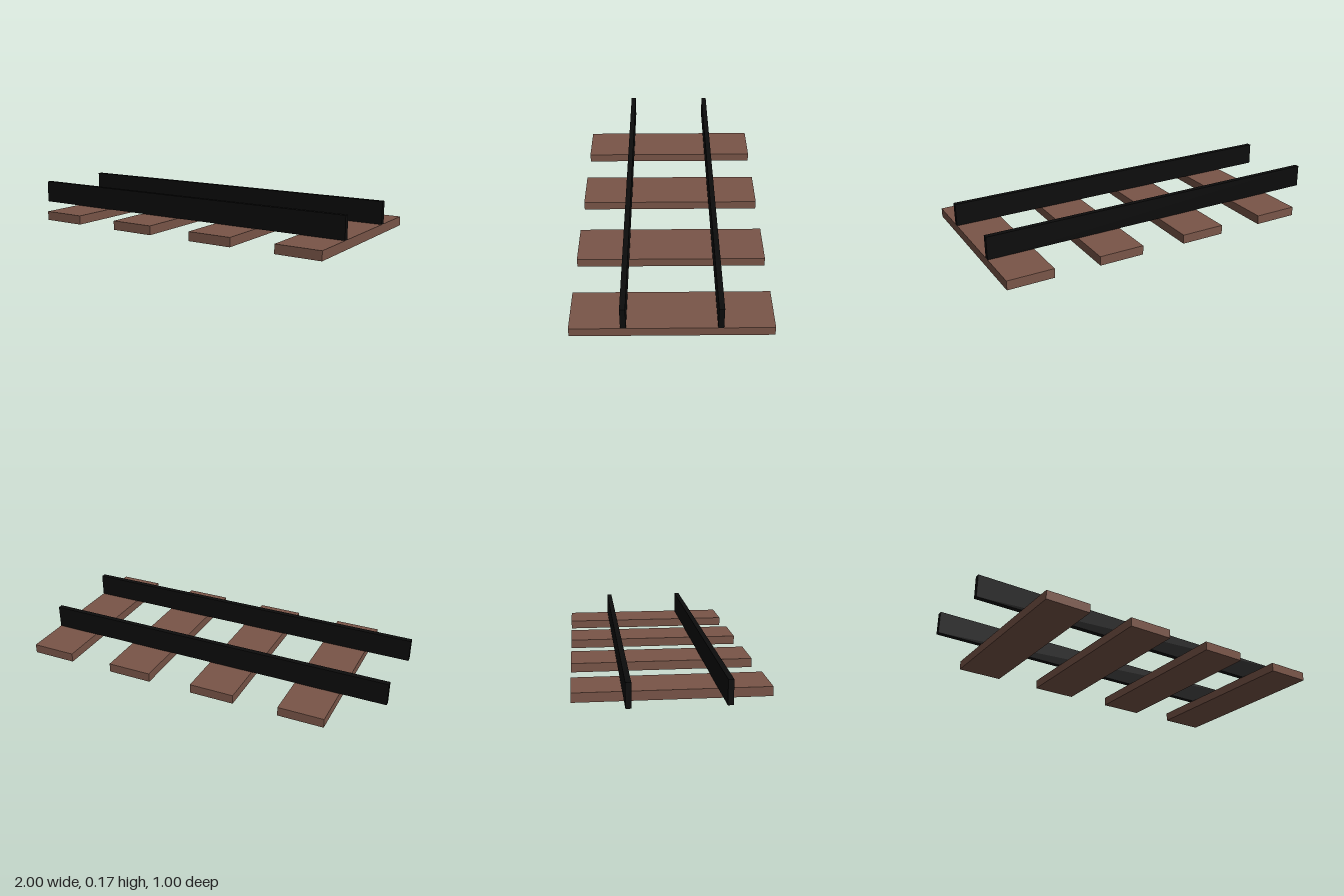
import * as THREE from 'three';

export function createModel() {
  const model = new THREE.Group();
  model.name = 'railTrack';

  const wood = new THREE.MeshStandardMaterial({ color: 0x795548 });
  wood.name = 'brownWood';
  const steel = new THREE.MeshStandardMaterial({ color: 0x0c0c0c });
  steel.name = 'blackSteel';

  const tieHeight = 0.05;
  const railHeight = 0.125;
  const railWidth = 0.028;

  // Four evenly spaced cross ties, the last flush with the rail ends
  const tieGeometry = new THREE.BoxGeometry(0.25, tieHeight, 1);
  for (let i = 0; i < 4; i++) {
    const tie = new THREE.Mesh(tieGeometry, wood);
    tie.name = `tie${i + 1}`;
    tie.position.set(-0.625 + i * 0.5, tieHeight / 2, 0);
    model.add(tie);
  }

  // Two parallel rails resting on the ties
  const railGeometry = new THREE.BoxGeometry(2, railHeight, railWidth);
  for (const [name, side] of [['frontRail', 1], ['backRail', -1]]) {
    const rail = new THREE.Mesh(railGeometry, steel);
    rail.name = name;
    rail.position.set(0, tieHeight + railHeight / 2, side * (0.25 - railWidth / 2));
    model.add(rail);
  }

  return model;
}
